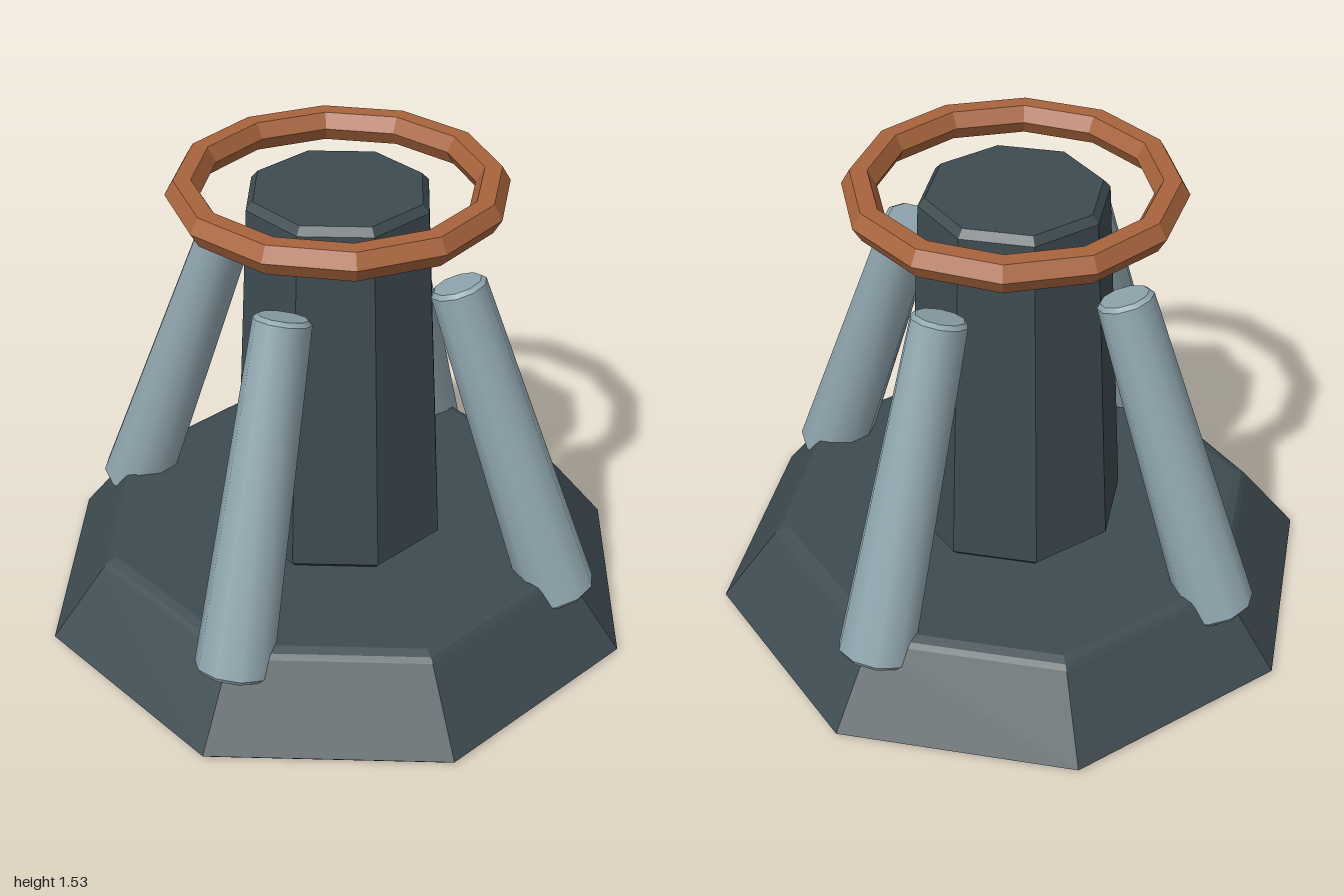
import * as THREE from 'three';
import { toCreasedNormals } from 'three/addons/utils/BufferGeometryUtils.js';

const FLAT = 0.05;
const SOFT = 0.68;

// Faceted solid of revolution from a bottom-to-top profile of [radius, height]
function turned(profile, sides, crease, start = 0) {
  const points = profile.map(([r, y]) => new THREE.Vector2(r, y));
  return toCreasedNormals(new THREE.LatheGeometry(points, sides, start), crease);
}

function part(name, geometry, material) {
  const mesh = new THREE.Mesh(geometry, material);
  mesh.name = name;
  return mesh;
}

export function createModel() {
  const darkSlate = new THREE.MeshStandardMaterial({ color: 0x3d4b50 });
  darkSlate.name = 'dark slate';
  const paleSteel = new THREE.MeshStandardMaterial({ color: 0x90a6af });
  paleSteel.name = 'pale steel';
  const copper = new THREE.MeshStandardMaterial({ color: 0xa8643c });
  copper.name = 'copper';

  const model = new THREE.Group();
  model.name = 'pedestal';

  // Octagonal base with a softened rim
  model.add(part('base', turned([
    [0, 0], [0.99, 0], [1, 0.01], [0.815, 0.25], [0.8, 0.265], [0.77, 0.275], [0, 0.275],
  ], 8, FLAT), darkSlate));

  // Tapered octagonal column
  model.add(part('column', turned([
    [0, 0.27], [0.34, 0.275], [0.36, 0.295], [0.297, 1.455], [0.275, 1.48], [0, 1.48],
  ], 8, FLAT), darkSlate));

  // Four tapered struts leaning in towards the column
  const foot = new THREE.Vector2(0.785, 0.18);
  const head = new THREE.Vector2(0.395, 1.237);
  const length = foot.distanceTo(head);
  const lean = Math.atan2(foot.x - head.x, head.y - foot.y);
  const strutGeometry = turned([
    [0, 0], [0.108, 0], [0.123, 0.015],
    [0.09, length - 0.013], [0.077, length], [0, length],
  ], 10, SOFT, Math.PI / 10);
  ['left', 'back', 'right', 'front'].forEach((side, i) => {
    const pivot = new THREE.Group();
    pivot.name = `${side}Strut`;
    const strut = part('strut', strutGeometry, paleSteel);
    strut.position.set(foot.x, foot.y, 0);
    strut.rotation.z = lean;
    pivot.add(strut);
    pivot.rotation.y = i * Math.PI / 2;
    model.add(pivot);
  });

  // Twelve-sided ring hovering around the column top
  const ringGeometry = toCreasedNormals(new THREE.TorusGeometry(0.473, 0.054, 6, 12), FLAT);
  ringGeometry.rotateX(-Math.PI / 2);
  const ring = part('ring', ringGeometry, copper);
  ring.position.y = 1.48;
  model.add(ring);

  return model;
}
